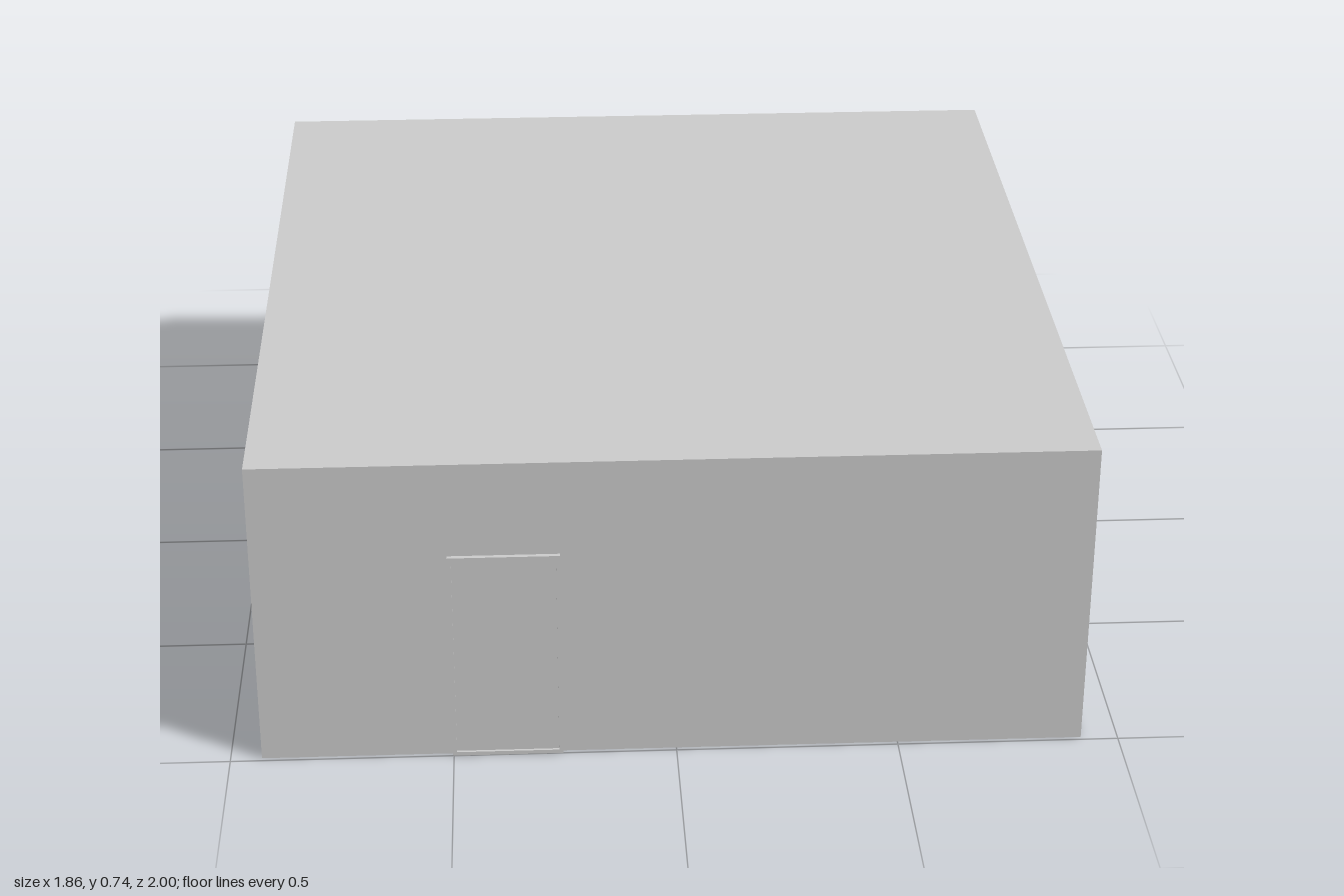
import * as THREE from 'three';

const material = new THREE.MeshStandardMaterial({ color: 0xcccccc, flatShading: true });

// Overall building limits
const X0 = -0.93, X1 = 0.917, Z = 0.99, H = 0.735, T = 0.045, FLOOR = 0.01, ROOF = 0.03;

function add(parent, name, geometry) {
  const mesh = new THREE.Mesh(geometry, material);
  mesh.name = name;
  parent.add(mesh);
  return mesh;
}

// Box given by its limits on each axis
function block(parent, name, [xa, xb], [ya, yb], [za, zb]) {
  const mesh = add(parent, name, new THREE.BoxGeometry(xb - xa, yb - ya, zb - za));
  mesh.position.set((xa + xb) / 2, (ya + yb) / 2, (za + zb) / 2);
}

// Faceted arch outline, shrunk inward by "inset"
function archPoints(win, inset) {
  const { z, half, base, spring, top } = win;
  const w = half - inset, rise = top - inset - spring;
  const half2 = [[1, 0], [0.9, 0.36], [0.64, 0.74], [0, 1]];
  const right = half2.map(([a, b]) => new THREE.Vector2(-z + w * a, spring + rise * b));
  const left = half2.slice(0, 3).reverse().map(([a, b]) => new THREE.Vector2(-z - w * a, spring + rise * b));
  return [new THREE.Vector2(-z - w, base + inset), new THREE.Vector2(-z + w, base + inset), ...right, ...left];
}

// Extrude a profile drawn in (-z, y) along x, ending at x = xEnd
function extrudeX(parent, name, shape, xEnd, depth) {
  const geometry = new THREE.ExtrudeGeometry(shape, { depth, bevelEnabled: false });
  geometry.rotateY(Math.PI / 2);
  geometry.translate(xEnd - depth, 0, 0);
  return add(parent, name, geometry);
}

const windows = [
  { z: 0.672, half: 0.103, base: 0.155, spring: 0.41, top: 0.485, ears: true },
  { z: 0, half: 0.113, base: 0.157, spring: 0.415, top: 0.51, ears: false },
  { z: -0.67, half: 0.103, base: 0.155, spring: 0.41, top: 0.485, ears: true },
];

export function createModel() {
  const model = new THREE.Group();
  model.name = 'building';

  // Hollow shell: floor, roof and three plain walls
  const shell = new THREE.Group();
  shell.name = 'shell';
  model.add(shell);
  block(shell, 'floor', [X0, X1 - T], [0, FLOOR], [-Z, Z]);
  block(shell, 'roof', [X0, X1 - T], [H - ROOF, H], [-Z, Z]);
  const inner = [FLOOR, H - ROOF];
  block(shell, 'rightWall', [X0, X0 + T], inner, [-Z, Z]);
  block(shell, 'frontWall', [X0 + T, X1 - T], inner, [Z - T, Z]);
  block(shell, 'backWall', [X0 + T, X1 - T], inner, [-Z, -Z + T]);

  // Window wall with three arched openings
  const wall = new THREE.Shape([[-Z, 0], [Z, 0], [Z, H], [-Z, H]].map(p => new THREE.Vector2(...p)));
  windows.forEach(w => wall.holes.push(new THREE.Path(archPoints(w, 0.011))));
  extrudeX(shell, 'windowWall', wall, X1, T);

  // Raised window surrounds
  windows.forEach(w => {
    const group = new THREE.Group();
    group.name = 'window';
    model.add(group);
    const frame = new THREE.Shape(archPoints(w, 0));
    frame.holes.push(new THREE.Path(archPoints(w, 0.011)));
    extrudeX(group, 'windowFrame', frame, X1 + 0.009, 0.012);
    block(group, 'windowSill', [X1 - 0.003, X1 + 0.012],
      [w.base, w.base + 0.013], [w.z - w.half, w.z + w.half]);
    // Small side blocks at the spring of the arch
    if (w.ears) for (const s of [-1, 1]) {
      const a = w.z + s * (w.half - 0.006), b = w.z + s * (w.half + 0.006);
      block(group, 'archBlock', [X1 - 0.003, X1 + 0.012],
        [0.34, w.spring], [Math.min(a, b), Math.max(a, b)]);
    }
  });

  // Matching doors at front and back
  for (const s of [1, -1]) {
    const door = new THREE.Group();
    door.name = s > 0 ? 'frontDoor' : 'backDoor';
    model.add(door);
    const span = (a, b) => (s > 0 ? [a, b] : [-b, -a]);
    const L = -0.502, R = -0.255, top = 0.51, f = 0.009;
    const deep = span(Z - 0.002, 1);
    block(door, 'doorPanel', [L + f, R - f], [f, top - f], span(Z - 0.002, Z + 0.004));
    block(door, 'doorJamb', [L, L + f], [0, top], deep);
    block(door, 'doorJamb', [R - f, R], [0, top], deep);
    block(door, 'doorHead', [L + f, R - f], [top - f, top], deep);
    block(door, 'doorThreshold', [L + f, R - f], [0, f], deep);
  }

  return model;
}
